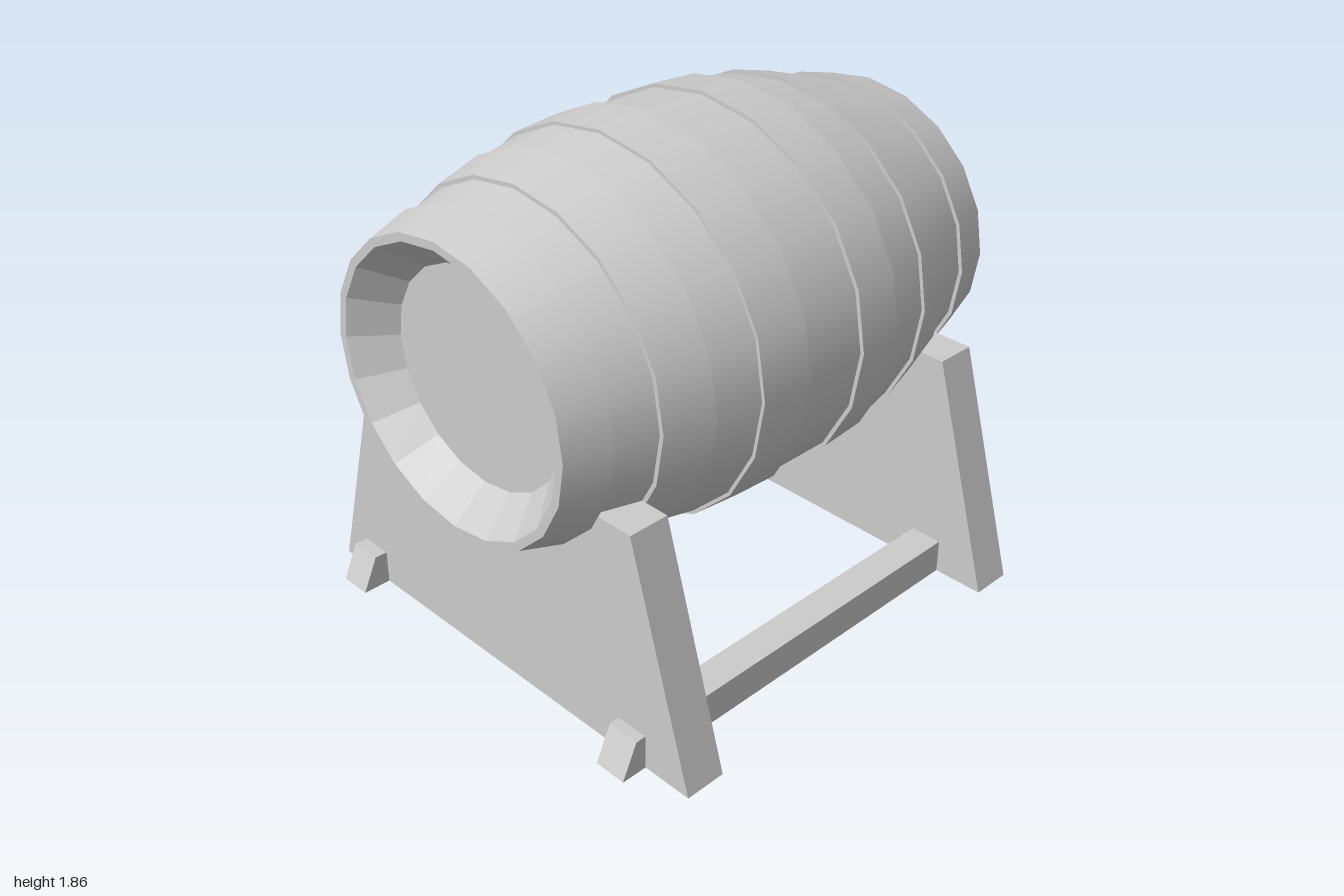
import * as THREE from 'three';

const SIDES = 20;
const smooth = new THREE.MeshStandardMaterial({ color: 0xcccccc, side: THREE.DoubleSide });
const flat = new THREE.MeshStandardMaterial({ color: 0xcccccc, side: THREE.DoubleSide, flatShading: true });

// One conical band of the barrel; each point is [radius, z]
function band(name, a, b, material) {
  const geo = new THREE.LatheGeometry([new THREE.Vector2(...a), new THREE.Vector2(...b)], SIDES);
  geo.rotateX(Math.PI / 2);
  const mesh = new THREE.Mesh(geo, material);
  mesh.name = name;
  return mesh;
}

// Polygon outline extruded by depth, starting at z = 0
function slab(name, outline, depth) {
  const shape = new THREE.Shape(outline.map(p => new THREE.Vector2(...p)));
  const geo = new THREE.ExtrudeGeometry(shape, { depth, bevelEnabled: false });
  const mesh = new THREE.Mesh(geo, flat);
  mesh.name = name;
  return mesh;
}

function createBarrel() {
  const barrel = new THREE.Group();
  barrel.name = 'barrel';

  // Hoops and staves alternate, with a small step at each hoop edge
  const profile = [
    [0.525, -1], [0.57, -0.83], [0.556, -0.83], [0.598, -0.67],
    [0.613, -0.67], [0.658, -0.5], [0.645, -0.5], [0.678, -0.315],
    [0.69, -0.315], [0.702, -0.125], [0.688, -0.125], [0.688, 0.135],
    [0.704, 0.135], [0.69, 0.33], [0.678, 0.33], [0.645, 0.505],
    [0.658, 0.505], [0.613, 0.685], [0.598, 0.685], [0.556, 0.84],
    [0.572, 0.84], [0.525, 1],
  ];
  for (let i = 0; i < profile.length - 1; i++) {
    const name = i % 2 ? 'hoopEdge' : i % 4 ? 'staves' : 'hoop';
    barrel.add(band(name, profile[i], profile[i + 1], smooth));
  }

  // Recessed heads at both ends
  const head = [[0.525, 1], [0.495, 1], [0.385, 0.865], [0, 0.865]];
  const names = ['rim', 'recess', 'head'];
  names.forEach((name, i) => {
    const [a, b] = [head[i], head[i + 1]];
    barrel.add(band(name + 'Front', a, b, flat));
    barrel.add(band(name + 'Back', [b[0], -b[1]], [a[0], -a[1]], flat));
  });

  barrel.scale.x = 1.064;
  barrel.position.y = 1.155;
  return barrel;
}

export function createModel() {
  const model = new THREE.Group();
  model.name = 'barrelOnStand';
  model.add(createBarrel());

  // Tapered support boards under each end
  for (const [name, z] of [['supportFront', 0.685], ['supportBack', -0.828]]) {
    const board = slab(name, [[-0.925, 0], [0.92, 0], [0.668, 0.88], [-0.668, 0.88]], 0.156);
    board.position.z = z;
    model.add(board);
  }

  // Lengthwise rails with slanted ends; outline drawn in z and y, then turned
  for (const [name, x, front] of [['railLeft', 0.6, 0.94], ['railRight', -0.79, 0.95]]) {
    const rail = slab(name, [[-front, 0], [0.918, 0], [0.862, 0.13], [0.06 - front, 0.13]], 0.125);
    rail.rotation.y = Math.PI / 2;
    rail.position.x = x;
    model.add(rail);
  }
  return model;
}
